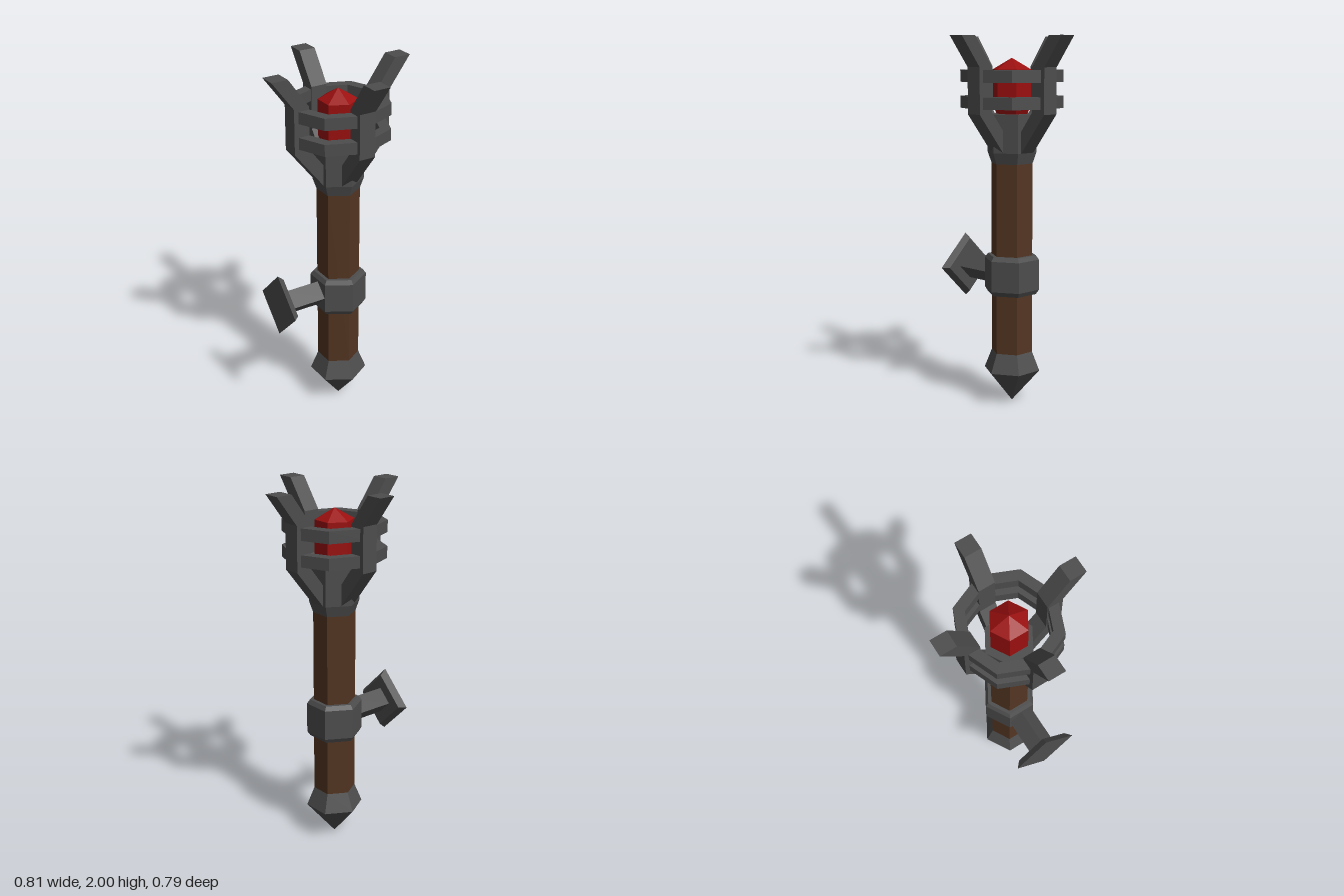
import * as THREE from 'three';

// Faceted shading: split every face and give it its own normal
function faceted(geometry) {
  const g = geometry.index ? geometry.toNonIndexed() : geometry;
  g.computeVertexNormals();
  return g;
}

// Six-sided turned part from [radius, y] points, bottom to top
function hexTurned(profile) {
  return faceted(new THREE.LatheGeometry(profile.map(([r, y]) => new THREE.Vector2(r, y)), 6));
}

// Points of an octagon with corners on the axes
function octagon(rx, rz) {
  return Array.from({ length: 8 }, (_, i) => {
    const a = (i * Math.PI) / 4;
    return new THREE.Vector2(rx * Math.cos(a), rz * Math.sin(a));
  });
}

export function createModel() {
  const model = new THREE.Group();
  model.name = 'torch';

  const material = (name, color) => {
    const m = new THREE.MeshStandardMaterial({ color });
    m.name = name;
    return m;
  };
  const iron = material('dark iron', 0x4d4d4d);
  const wood = material('brown wood', 0x533522);
  const red = material('red crystal', 0x9b0f0f);

  const add = (name, geometry, mat, parent = model) => {
    const mesh = new THREE.Mesh(geometry, mat);
    mesh.name = name;
    parent.add(mesh);
    return mesh;
  };

  // Handle with its pointed foot, middle band and head collar
  add('shaft', hexTurned([[0.115, 0.28], [0.115, 1.33]]), wood);
  add('pointedFoot', hexTurned([[0, 0], [0.157, 0.18], [0.115, 0.285], [0, 0.285]]), iron);
  add('middleBand', hexTurned([
    [0.1, 0.61], [0.136, 0.61], [0.153, 0.635], [0.153, 0.802], [0.136, 0.825], [0.1, 0.825],
  ]), iron);
  add('headCollar', hexTurned([[0.1, 1.325], [0.115, 1.325], [0.136, 1.385], [0.136, 1.59], [0, 1.59]]), iron);

  // Crystal standing in the collar
  add('crystal', hexTurned([[0, 1.57], [0.075, 1.57], [0.105, 1.63], [0.105, 1.825], [0, 1.885]]), red);

  // Wall bracket: diamond-section arm and bevelled diamond plate
  const bracket = new THREE.Group();
  bracket.name = 'wallBracket';
  bracket.position.y = 0.718;
  model.add(bracket);
  const diamond = (outer, inner, length) =>
    faceted(new THREE.CylinderGeometry(outer, inner, length, 4).rotateZ(Math.PI / 2));
  add('bracketArm', diamond(0.073, 0.073, 0.25), iron, bracket).position.x = -0.225;
  add('bracketPlate', diamond(0.181, 0.15, 0.035), iron, bracket).position.x = -0.362;

  // Four bent prongs around the head
  const prongShape = new THREE.Shape([
    [0.09, 1.385], [0.118, 1.385], [0.285, 1.595], [0.285, 1.838], [0.406, 2],
    [0.315, 2], [0.198, 1.838], [0.198, 1.605], [0.09, 1.465],
  ].map(([x, y]) => new THREE.Vector2(x, y)));
  const prongGeometry = new THREE.ExtrudeGeometry(prongShape, { depth: 0.092, bevelEnabled: false });
  prongGeometry.translate(0, 0, -0.046);
  for (let i = 0; i < 4; i++) {
    const pivot = new THREE.Group();
    pivot.name = 'prong';
    pivot.rotation.y = (i * Math.PI) / 2;
    // Front and back prongs sit slightly closer in
    add('prongBar', prongGeometry, iron, pivot).position.x = i % 2 ? -0.011 : 0;
    model.add(pivot);
  }

  // Two octagonal hoops tying the prongs together
  const hoopShape = new THREE.Shape(octagon(0.28, 0.27));
  hoopShape.holes.push(new THREE.Path(octagon(0.217, 0.212)));
  const hoopGeometry = new THREE.ExtrudeGeometry(hoopShape, { depth: 0.064, bevelEnabled: false });
  hoopGeometry.rotateX(-Math.PI / 2);
  add('lowerHoop', hoopGeometry, iron).position.y = 1.621;
  add('upperHoop', hoopGeometry, iron).position.y = 1.759;

  return model;
}
